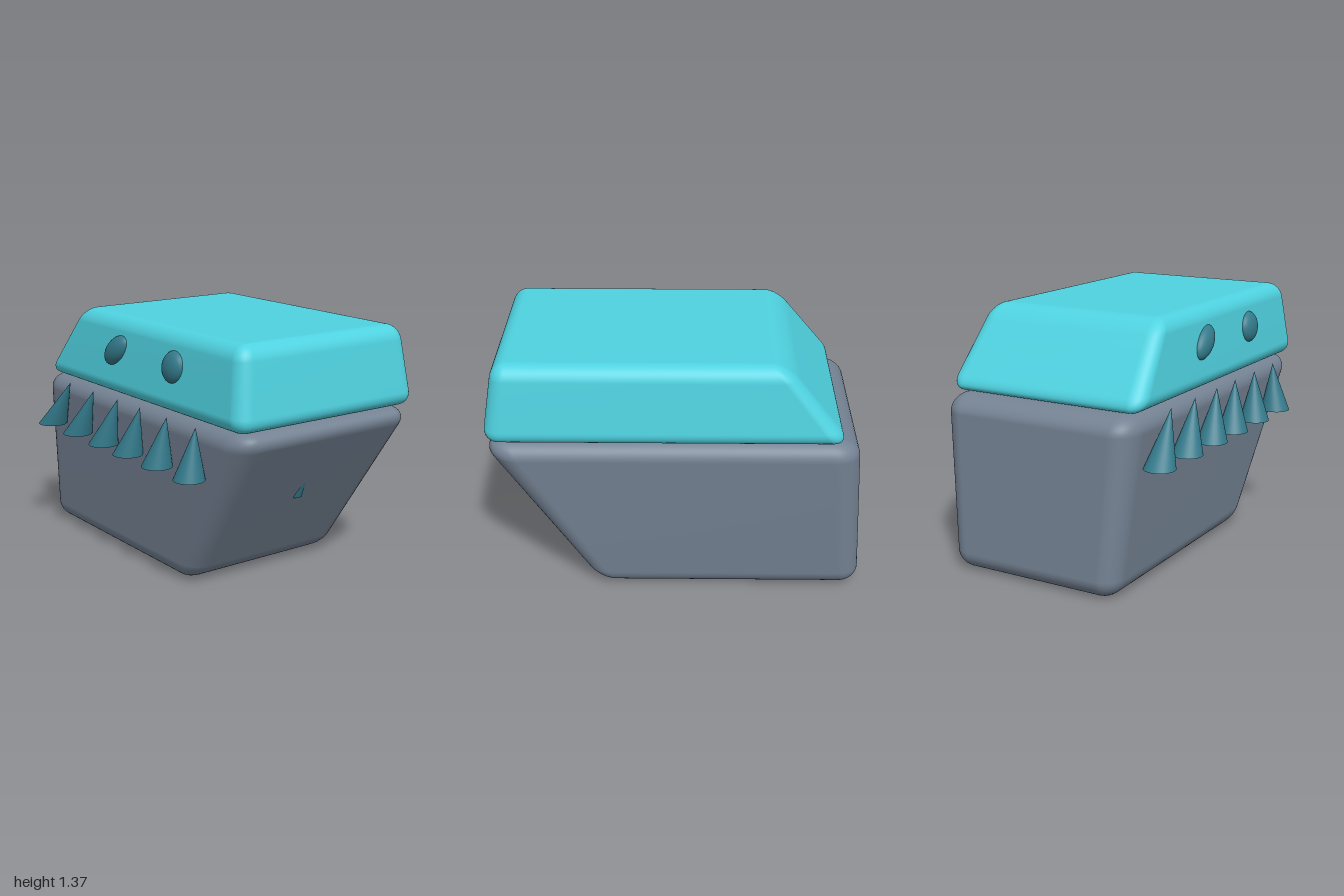
import * as THREE from 'three';
import { RoundedBoxGeometry } from 'three/addons/geometries/RoundedBoxGeometry.js';
import { mergeVertices } from 'three/addons/utils/BufferGeometryUtils.js';

const slate = new THREE.MeshStandardMaterial({ color: 0x748293 });
const cyan = new THREE.MeshStandardMaterial({ color: 0x4fd2e0 });
const teal = new THREE.MeshStandardMaterial({ color: 0x33798a });

// Rounded block whose four side walls lean: each wall runs from its bottom to its top position.
function taperedBlock(width, depth, radius, [y0, y1], walls) {
  const h = y1 - y0;
  const box = new RoundedBoxGeometry(width, h, depth, 5, radius);
  box.deleteAttribute('normal');
  box.deleteAttribute('uv');
  box.clearGroups();
  const geo = mergeVertices(box, 1e-4);
  const p = geo.attributes.position;
  const { lerp } = THREE.MathUtils;
  for (let i = 0; i < p.count; i++) {
    const t = p.getY(i) / h + 0.5;
    const at = (wall) => lerp(wall[0], wall[1], t);
    p.setXYZ(
      i,
      lerp(at(walls.right), at(walls.left), p.getX(i) / width + 0.5),
      lerp(y0, y1, t),
      lerp(at(walls.back), at(walls.front), p.getZ(i) / depth + 0.5)
    );
  }
  geo.computeVertexNormals();
  return geo;
}

// Upright cone sheared so that its base stays level while its tip leans.
function leaningCone(base, tip, radius, topRadius, sides) {
  const h = tip[1] - base[1];
  const geo = new THREE.CylinderGeometry(topRadius, radius, h, sides);
  geo.translate(0, h / 2, 0);
  const shear = new THREE.Matrix4().set(
    1, (tip[0] - base[0]) / h, 0, base[0],
    0, 1, 0, base[1],
    0, (tip[2] - base[2]) / h, 1, base[2],
    0, 0, 0, 1
  );
  return geo.applyMatrix4(shear);
}

export function createModel() {
  const model = new THREE.Group();
  const add = (name, geo, material) => {
    const mesh = new THREE.Mesh(geo, material);
    mesh.name = name;
    model.add(mesh);
    return mesh;
  };

  // Lower jaw block and the lid-like head above it
  add('jaw', taperedBlock(1.3, 0.95, 0.1, [0, 0.94], {
    right: [-1.005, -0.95], left: [0.435, 1.037],
    back: [-0.561, -0.643], front: [0.442, 0.518],
  }), slate);
  add('head', taperedBlock(1.7, 1.1, 0.08, [0.94, 1.37], {
    right: [-0.9, -0.55], left: [1.008, 0.94],
    back: [-0.655, -0.6], front: [0.53, 0.475],
  }), cyan);

  // Flattened eyes, set into the sloping front of the head
  for (const [name, x, a, b, tilt] of [
    ['rightEye', -0.14, 0.115, 0.066, 0.66],
    ['leftEye', 0.405, 0.09, 0.082, 0.79],
  ]) {
    const eye = add(name, new THREE.SphereGeometry(1, 28, 18), teal);
    eye.position.set(x, 1.185, 0.492);
    eye.scale.set(a, b, 0.05);
    eye.rotation.set(-0.12, 0, tilt);
  }

  // Row of teeth, leaning less and less towards the left
  const teeth = [[-0.75, -0.58], [-0.46, -0.32], [-0.178, -0.07], [0.075, 0.155], [0.355, 0.405], [0.645, 0.66]];
  teeth.forEach(([base, tip], i) => {
    add(`tooth${i + 1}`, leaningCone([base, 0.66, 0.57], [tip, 0.93, 0.54], 0.083, 0, 32), teal);
  });

  // Small stub poking out of the sloping left side
  add('sideStub', leaningCone([0.725, 0.475, -0.062], [0.79, 0.58, -0.06], 0.033, 0.014, 12), teal);

  return model;
}
